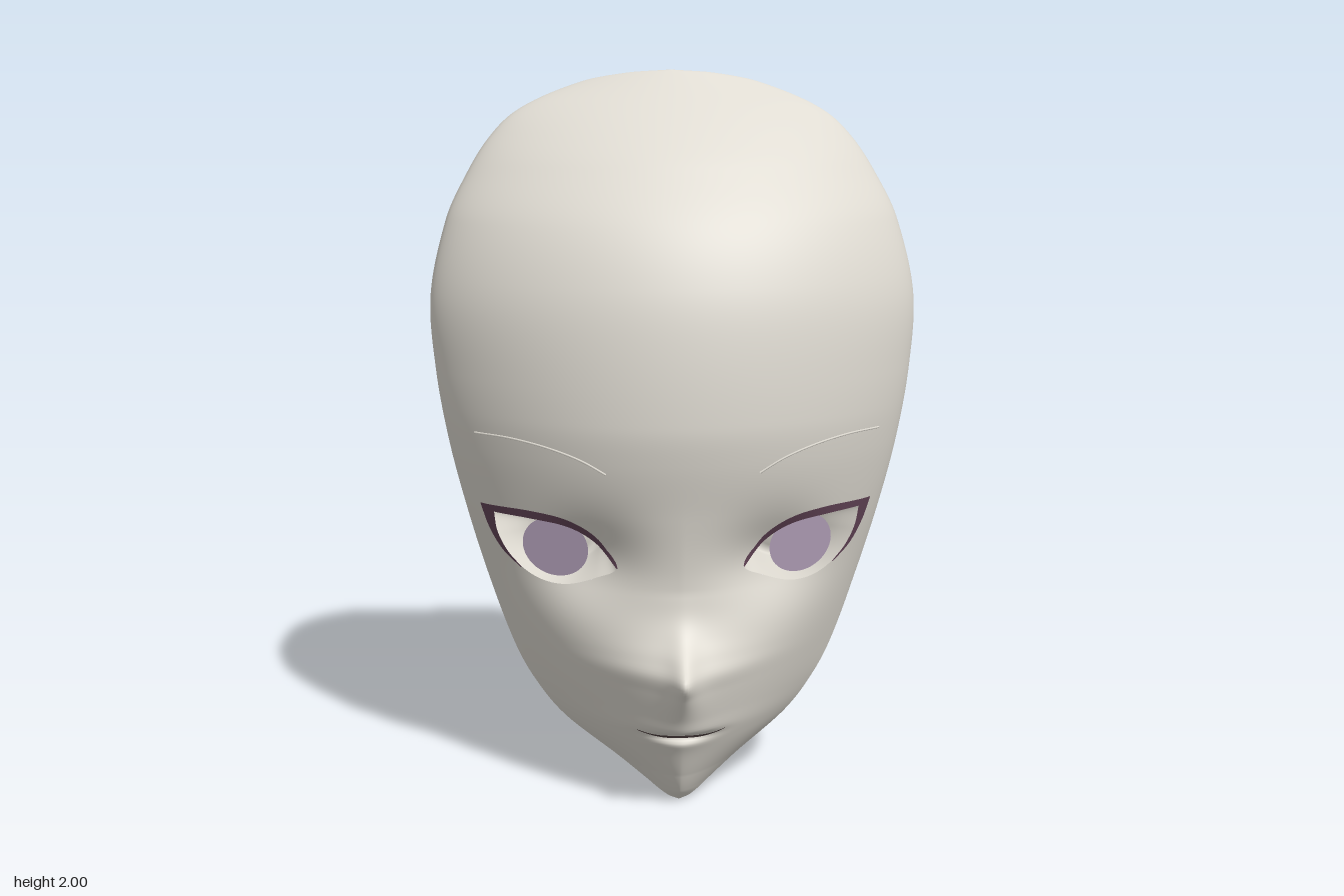
import * as THREE from 'three';

const material = (name, color) => new THREE.MeshStandardMaterial({ name, color, side: THREE.DoubleSide });
const skin = material('skin', 0xdfdbd2);
const iris = material('iris', 0xb5a2bc);
const lash = material('lash', 0x644558);
const lip = material('lipLine', 0x4f4040);

// Smooth interpolation through [y, value] pairs
function curve(pts) {
  const slope = i => {
    const a = pts[Math.max(i - 1, 0)], b = pts[Math.min(i + 1, pts.length - 1)];
    return (b[1] - a[1]) / (b[0] - a[0]);
  };
  return y => {
    let i = 0;
    while (i < pts.length - 2 && y > pts[i + 1][0]) i++;
    const [y0, a] = pts[i], [y1, b] = pts[i + 1], h = y1 - y0;
    const s = THREE.MathUtils.clamp((y - y0) / h, 0, 1), s2 = s * s, s3 = s2 * s;
    return a * (2 * s3 - 3 * s2 + 1) + b * (3 * s2 - 2 * s3)
      + h * (slope(i) * (s3 - 2 * s2 + s) + slope(i + 1) * (s3 - s2));
  };
}

// Half width, centre depth, rim depth and roundness by height
const halfWidth = curve([[0, 0], [0.01, 0.03], [0.05, 0.09], [0.1, 0.165], [0.2, 0.315], [0.3, 0.4],
  [0.4, 0.455], [0.6, 0.525], [0.8, 0.58], [1, 0.625], [1.2, 0.655], [1.4, 0.664], [1.6, 0.62],
  [1.7, 0.575], [1.82, 0.5], [1.9, 0.41], [1.97, 0.24], [1.993, 0.11], [2, 0]]);
const centreZ = curve([[0, 0.05], [0.04, 0.09], [0.12, 0.132], [0.2, 0.158], [0.3, 0.168], [0.43, 0.178],
  [0.6, 0.177], [0.7, 0.182], [0.85, 0.205], [1, 0.237], [1.1, 0.248], [1.3, 0.235], [1.45, 0.202],
  [1.6, 0.13], [1.745, 0.008], [1.82, -0.07], [1.91, -0.175], [2, -0.29]]);
const rimZ = curve([[0, 0.05], [0.03, 0.03], [0.1, -0.03], [0.2, -0.1], [0.3, -0.13], [0.4, -0.15],
  [0.6, -0.16], [0.8, -0.15], [1, -0.14], [1.2, -0.14], [1.4, -0.155], [1.6, -0.19],
  [1.82, -0.258], [1.9, -0.29], [1.97, -0.323], [2, -0.297]]);
const roundness = curve([[0, 1.5], [0.2, 1.65], [0.4, 2], [0.6, 2.4], [0.8, 2.5]]);

// Height and sideways spread of the ridge running from nose to lips
const ridgeHeight = curve([[0.1, 0], [0.17, 0.008], [0.21, 0.022], [0.25, 0.05], [0.305, 0.073], [0.38, 0.115],
  [0.43, 0.143], [0.47, 0.1], [0.52, 0.045], [0.57, 0.014], [0.64, 0]]);
const ridgeSpread = curve([[0.18, 0.13], [0.25, 0.11], [0.3, 0.09], [0.38, 0.058], [0.43, 0.042], [0.5, 0.052], [0.64, 0.06]]);

const bump = (d, s) => Math.exp(-0.5 * (d / s) ** 2);

// Depth of the face at a point
function faceZ(x, y) {
  const ax = Math.abs(x), w = halfWidth(y), c = centreZ(y);
  const t = w > 1e-6 ? Math.min(ax / w, 1) : 0;
  const dome = 0.5 * (1 - Math.sqrt(1 - t * t)) + 0.5 * t * t;
  const drop = THREE.MathUtils.lerp(t ** roundness(y), dome, THREE.MathUtils.smoothstep(y, 0.3, 0.9));
  let z = c - (c - rimZ(y)) * drop;
  z += ridgeHeight(y) * (0.5 / (1 + (x / ridgeSpread(y)) ** 2) ** 1.5 + 0.5 * bump(x, 0.13));
  z -= 0.035 * bump(y - 0.237, 0.01) * bump(x, 0.055);       // mouth crease
  z -= 0.06 * bump(ax - 0.25, 0.1) * bump(y - 0.71, 0.085); // eye hollow
  return z;
}

// Eye opening outline
const eyeCentre = [0.345, 0.735];
const eyeOutline = new THREE.CatmullRomCurve3([[0.17, 0.697], [0.225, 0.772], [0.3, 0.815], [0.4, 0.832],
  [0.525, 0.835], [0.497, 0.755], [0.45, 0.69], [0.385, 0.647], [0.31, 0.637], [0.225, 0.663]]
  .map(([x, y]) => new THREE.Vector3(x, y, 0)), true, 'centripetal').getPoints(120).slice(0, -1);
const polar = eyeOutline.map(p => [Math.atan2(p.y - eyeCentre[1], p.x - eyeCentre[0]),
  Math.hypot(p.x - eyeCentre[0], p.y - eyeCentre[1])]).sort((a, b) => a[0] - b[0]);
function eyeRadius(angle) {
  const n = polar.length;
  let j = polar.findIndex(p => p[0] > angle);
  if (j < 0) j = 0;
  const a = polar[(j + n - 1) % n], b = polar[j], turn = 2 * Math.PI;
  const span = (b[0] - a[0] + turn) % turn, s = ((angle - a[0] + turn) % turn) / span;
  return a[1] + (b[1] - a[1]) * s;
}

function geometryFrom(positions, index) {
  const g = new THREE.BufferGeometry();
  g.setAttribute('position', new THREE.Float32BufferAttribute(positions, 3));
  g.setIndex(index);
  g.computeVertexNormals();
  return g;
}

function named(name, geometry, mat) {
  const m = new THREE.Mesh(geometry, mat);
  m.name = name;
  return m;
}

// Curved mask shell with two eye openings
function faceGeometry() {
  const rows = 280, cols = 160, verts = [], inside = [], index = [];
  for (let r = 0; r <= rows; r++) {
    const y = 1 - Math.cos(Math.PI * r / rows), w = halfWidth(y);
    for (let c = 0; c <= cols; c++) {
      const u = 2 * c / cols - 1;
      const x = w * (0.5 * u + 0.5 * Math.sin(u * Math.PI / 2)); // finer towards the rim
      const dx = Math.abs(x) - eyeCentre[0], dy = y - eyeCentre[1];
      verts.push([x, y]);
      inside.push(Math.hypot(dx, dy) < 0.25 && Math.hypot(dx, dy) < eyeRadius(Math.atan2(dy, dx)));
    }
  }
  const snap = new Set();
  const tri = (...t) => {
    if (t.every(i => inside[i])) return;
    t.forEach(i => inside[i] && snap.add(i));
    index.push(...t);
  };
  for (let r = 0; r < rows; r++) for (let c = 0; c < cols; c++) {
    const a = r * (cols + 1) + c, d = a + cols + 1;
    tri(a, a + 1, d + 1);
    tri(a, d + 1, d);
  }
  // Pull the edge of each opening onto the outline
  for (const i of snap) {
    const [x, y] = verts[i], angle = Math.atan2(y - eyeCentre[1], Math.abs(x) - eyeCentre[0]);
    const rad = eyeRadius(angle);
    verts[i] = [Math.sign(x) * (eyeCentre[0] + rad * Math.cos(angle)), eyeCentre[1] + rad * Math.sin(angle)];
  }
  return geometryFrom(verts.flatMap(([x, y]) => [x, y, faceZ(x, y)]), index);
}

// Tapered pouch behind the eye opening, closed by a shallow dish
function socketGeometry(side) {
  const n = eyeOutline.length, pos = [], index = [];
  const rings = [[0, 1, 0], [0.15, 1, 0], [0.35, 1, 0], [0.6, 1, 0], [0.85, 1, 0], [0.96, 1, 0],
    [1, 0.9, 0], [1, 0.7, 0.008], [1, 0.35, 0.018], [1, 0, 0.021]];
  rings.forEach(([m, scale, dish], k) => eyeOutline.forEach((p, i) => {
    const angle = Math.atan2(p.y - eyeCentre[1], p.x - eyeCentre[0]);
    const x = p.x + (0.3 + 0.1 * scale * Math.cos(angle) - p.x) * m;
    const y = p.y + (0.725 + 0.08 * scale * Math.sin(angle) - p.y) * m;
    const z0 = faceZ(p.x, p.y);
    pos.push(side * x, y, z0 + (-0.177 - z0) * m + dish);
    if (k) {
      const a = (k - 1) * n + i, b = (k - 1) * n + (i + 1) % n;
      index.push(a, b, b + n, a, b + n, a + n);
    }
  }));
  return geometryFrom(pos, index);
}

// Thin strip between two lines, laid on the face
function ribbon(top, bottom, side, lift) {
  const line = pts => new THREE.CatmullRomCurve3(pts.map(([x, y]) => new THREE.Vector3(x, y, 0))).getPoints(40);
  const a = line(top), b = line(bottom), pos = [], index = [];
  a.forEach((p, i) => {
    for (const q of [p, b[i]]) pos.push(side * q.x, q.y, faceZ(q.x, q.y) + lift);
    if (i) {
      const k = 2 * i;
      index.push(k - 2, k - 1, k + 1, k - 2, k + 1, k);
    }
  });
  return geometryFrom(pos, index);
}

export function createModel() {
  const model = new THREE.Group();
  model.name = 'faceMask';
  model.add(named('faceShell', faceGeometry(), skin));

  for (const side of [1, -1]) {
    const eye = new THREE.Group();
    eye.name = side > 0 ? 'leftEye' : 'rightEye';
    eye.add(named('eyeSocket', socketGeometry(side), skin));

    const disc = named('iris', new THREE.CircleGeometry(1, 48), iris);
    disc.scale.set(0.094, 0.087, 1);
    disc.rotation.set(0.17, side * 0.34, 0);
    disc.position.set(side * 0.335, 0.735, 0.027);
    eye.add(disc);

    // Upper lash band, its root behind the shell, and the outer wing
    const lashTop = [[0.168, 0.698], [0.225, 0.783], [0.3, 0.831], [0.4, 0.849], [0.538, 0.845]];
    eye.add(named('upperLash', ribbon(lashTop,
      [[0.172, 0.696], [0.23, 0.768], [0.3, 0.81], [0.4, 0.826], [0.52, 0.827]], side, 0.005), lash));
    eye.add(named('lashRoot', ribbon(lashTop.map(([x, y]) => [x, y + 0.004]),
      lashTop.map(([x, y]) => [x, y - 0.006]), side, -0.005), lash));
    eye.add(named('outerLash', ribbon(
      [[0.538, 0.845], [0.515, 0.775], [0.48, 0.715], [0.43, 0.67]],
      [[0.5, 0.83], [0.492, 0.768], [0.466, 0.714], [0.428, 0.672]], side, 0.005), lash));
    model.add(eye);

    // Raised brow line
    const browPath = new THREE.CatmullRomCurve3([[0.2, 0.975], [0.26, 1.008], [0.34, 1.035], [0.44, 1.052], [0.545, 1.052]]
      .map(([x, y]) => new THREE.Vector3(side * x, y, faceZ(x, y) + 0.006)));
    model.add(named(side > 0 ? 'leftBrow' : 'rightBrow', new THREE.TubeGeometry(browPath, 40, 0.003, 6), skin));
  }

  // Mouth line
  model.add(named('mouth', ribbon(
    [[-0.12, 0.25], [-0.06, 0.241], [0, 0.24], [0.06, 0.241], [0.12, 0.25]],
    [[-0.12, 0.248], [-0.06, 0.234], [0, 0.232], [0.06, 0.234], [0.12, 0.248]], 1, 0.003), lip));
  return model;
}
